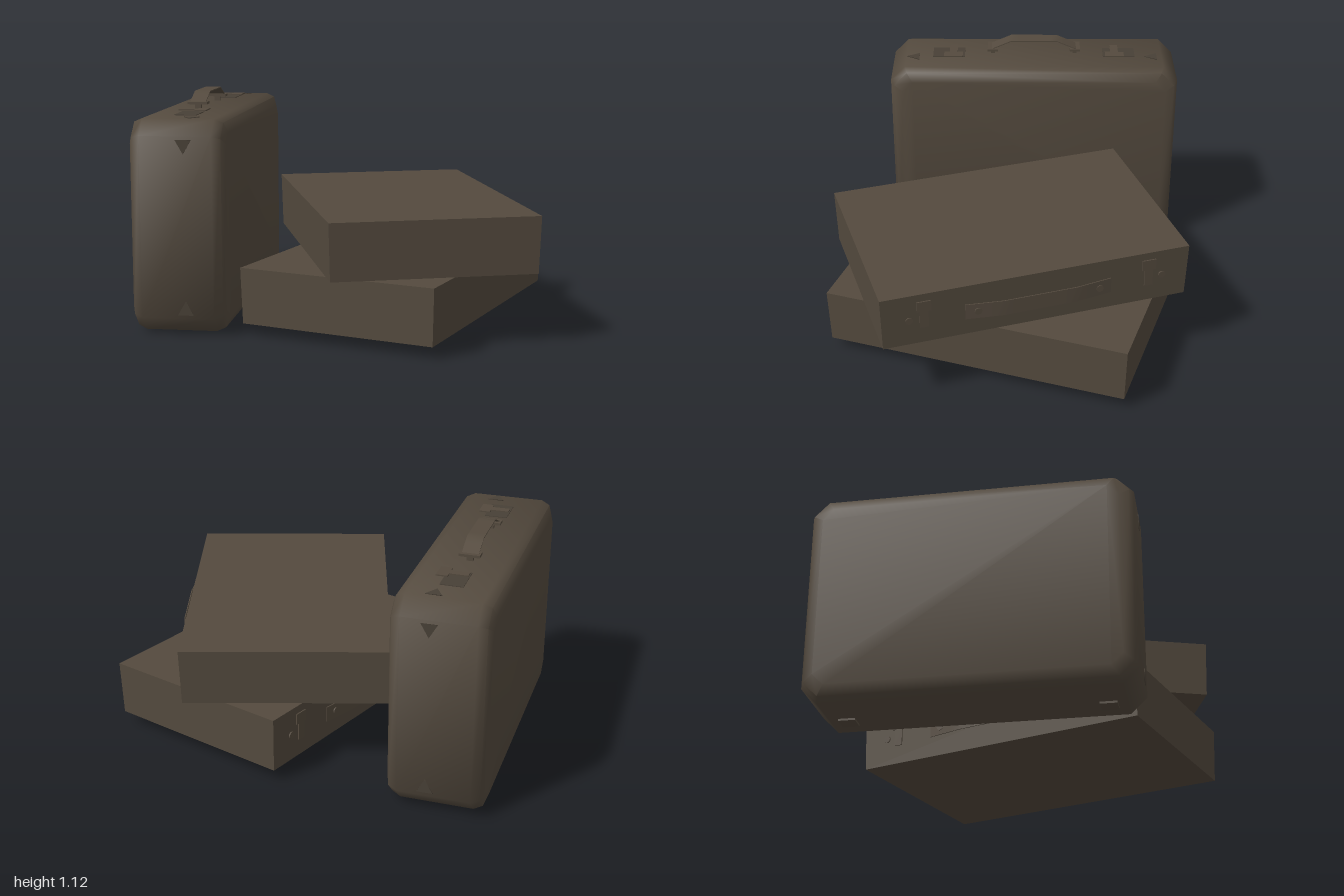
import * as THREE from 'three';
import { toCreasedNormals } from 'three/addons/utils/BufferGeometryUtils.js';

const brown = new THREE.MeshStandardMaterial({ name: 'brown leather', color: 0x544a3e });
const dark = new THREE.MeshStandardMaterial({ name: 'dark leather', color: 0x484036 });

function add(parent, name, geometry, x = 0, y = 0, z = 0, material = brown) {
  const mesh = new THREE.Mesh(geometry, material);
  mesh.name = name;
  mesh.position.set(x, y, z);
  parent.add(mesh);
  return mesh;
}

// Fittings on a face: +x points outward, y across the face, z along it.
function addFittings(parent, { strapHalf, latchZ, lift, rise, base, rivets }) {
  const g = new THREE.Group();
  g.name = 'fittings';
  parent.add(g);

  // Strap handle: sloping ends and a flat, narrower middle
  const strap = new THREE.BoxGeometry(0.005, 0.08, strapHalf * 2, 1, 1, 12);
  const p = strap.attributes.position;
  for (let i = 0; i < p.count; i++) {
    const t = Math.min(1, (1 - Math.abs(p.getZ(i)) / strapHalf) / 0.5);
    p.setX(i, p.getX(i) + base + (rise - base) * t);
  }
  strap.computeVertexNormals();
  add(g, 'handleStrap', strap);

  for (const s of [-1, 1]) {
    // Handle brackets and their posts
    if (!rivets) add(g, 'handleBracket', new THREE.BoxGeometry(0.012, 0.1, 0.055), base + 0.005, 0, s * (strapHalf - 0.025));
    add(g, 'handlePost', new THREE.BoxGeometry(base, 0.03, 0.02), base / 2, 0, s * (strapHalf - 0.025));
    // T-shaped latch
    add(g, 'latchBar', new THREE.BoxGeometry(0.006, 0.055, rivets ? 0.07 : 0.1), lift, 0.07, s * latchZ);
    add(g, 'latchStem', new THREE.BoxGeometry(0.006, 0.09, 0.042), lift, 0, s * latchZ);
    // Round studs beside the latches and on the strap ends
    if (rivets) {
      const stud = new THREE.CylinderGeometry(0.018, 0.018, 0.006, 12).rotateZ(Math.PI / 2);
      add(g, 'latchStud', stud, 0.003, 0, s * (latchZ + 0.07));
      add(g, 'strapStud', stud, base + (rise - base) * 0.333 + 0.004, 0, s * (strapHalf - 0.06));
    }
  }
  return g;
}

// Flat case: a box narrowing slightly toward its underside
function flatCase(name, x, y, z, turn, side) {
  const g = new THREE.Group();
  g.name = name;
  const h = 0.274;
  const body = new THREE.BoxGeometry(1.0, h, 1.52);
  const p = body.attributes.position;
  for (let i = 0; i < p.count; i++) {
    if (p.getY(i) < 0) {
      p.setX(i, p.getX(i) * 0.984);
      p.setZ(i, p.getZ(i) * 0.99);
    }
  }
  body.computeVertexNormals();
  add(g, name + 'Body', body);
  const f = addFittings(g, { strapHalf: 0.36, latchZ: 0.555, lift: 0.006, rise: 0.035, base: 0.012, rivets: true });
  f.position.x = side * 0.497;
  if (side < 0) f.rotation.y = Math.PI;
  g.position.set(x, y + h / 2, z);
  g.rotation.y = turn;
  return g;
}

// Upright case body: octagonal rings stepped across the width, softly rounded
function roundedBody(w, h, l) {
  const steps = [[-w / 2, 0.065], [-w / 2 + 0.018, 0.018], [-w / 2 + 0.06, 0]];
  const rings = [...steps, ...steps.map(([x, i]) => [-x, i]).reverse()].map(([x, inset]) => {
    const a = h / 2 - inset, b = l / 2 - inset, c = 0.076 - inset * 0.35;
    return [[a, b - c], [a - c, b], [c - a, b], [-a, b - c], [-a, c - b], [c - a, -b], [a - c, -b], [a, c - b]]
      .map(([y, z]) => [x, y, z]);
  });
  const pos = [], idx = [];
  rings.forEach((r) => r.forEach((v) => pos.push(...v)));
  for (let r = 0; r < rings.length - 1; r++) {
    for (let k = 0; k < 8; k++) {
      const a = r * 8 + k, b = r * 8 + (k + 1) % 8;
      idx.push(a, a + 8, b, b, a + 8, b + 8);
    }
  }
  const last = (rings.length - 1) * 8;
  for (let k = 1; k < 7; k++) {
    idx.push(0, k, k + 1);
    idx.push(last, last + k + 1, last + k);
  }
  const geo = new THREE.BufferGeometry();
  geo.setAttribute('position', new THREE.Float32BufferAttribute(pos, 3));
  geo.setIndex(idx);
  // Loops run the way that faces outward
  const i0 = new THREE.Vector3().fromArray(pos, idx[0] * 3);
  const e1 = new THREE.Vector3().fromArray(pos, idx[1] * 3).sub(i0);
  const e2 = new THREE.Vector3().fromArray(pos, idx[2] * 3).sub(i0);
  if (e1.cross(e2).dot(i0) < 0) idx.reverse(), geo.setIndex(idx);
  return toCreasedNormals(geo, 0.9);
}

function uprightCase() {
  const g = new THREE.Group();
  g.name = 'uprightCase';
  const w = 0.468, h = 1.03, l = 1.52;
  add(g, 'uprightCaseBody', roundedBody(w, h, l));

  // Handle and latches on the top edge
  const f = addFittings(g, { strapHalf: 0.245, latchZ: 0.43, lift: 0.018, rise: 0.08, base: 0.026, rivets: false });
  f.position.set(-0.01, h / 2, 0);
  f.rotation.set(Math.PI, 0, Math.PI / 2, 'ZYX');

  // Pads beneath the latches and triangular corner patches
  const tri = new THREE.CylinderGeometry(0.045, 0.045, 0.004, 3);
  for (const s of [-1, 1]) {
    add(g, 'latchPad', new THREE.BoxGeometry(0.11, 0.004, 0.17), 0, h / 2 + 0.001, s * 0.455, dark);
    add(g, 'topPatch', tri, 0.05, h / 2 + 0.001, s * 0.635, dark);
    add(g, 'foot', new THREE.BoxGeometry(0.08, 0.012, 0.08), 0.05, -h / 2 - 0.004, s * 0.6);
    for (const v of [-1, 1]) {
      const patch = add(g, 'endPatch', tri, 0.04, v * 0.4, s * (l / 2 + 0.001), dark);
      patch.rotation.x = v * Math.PI / 2;
    }
  }
  g.position.set(-0.745, 0.01 + h / 2, -0.155);
  g.rotation.y = -0.03;
  return g;
}

export function createModel() {
  const model = new THREE.Group();
  model.name = 'suitcases';
  model.add(
    uprightCase(),
    flatCase('lowerCase', 0.261, 0.057, 0.019, -0.354, -1),
    flatCase('upperCase', 0.2585, 0.342, 0.019, 0.282, 1),
  );
  return model;
}
